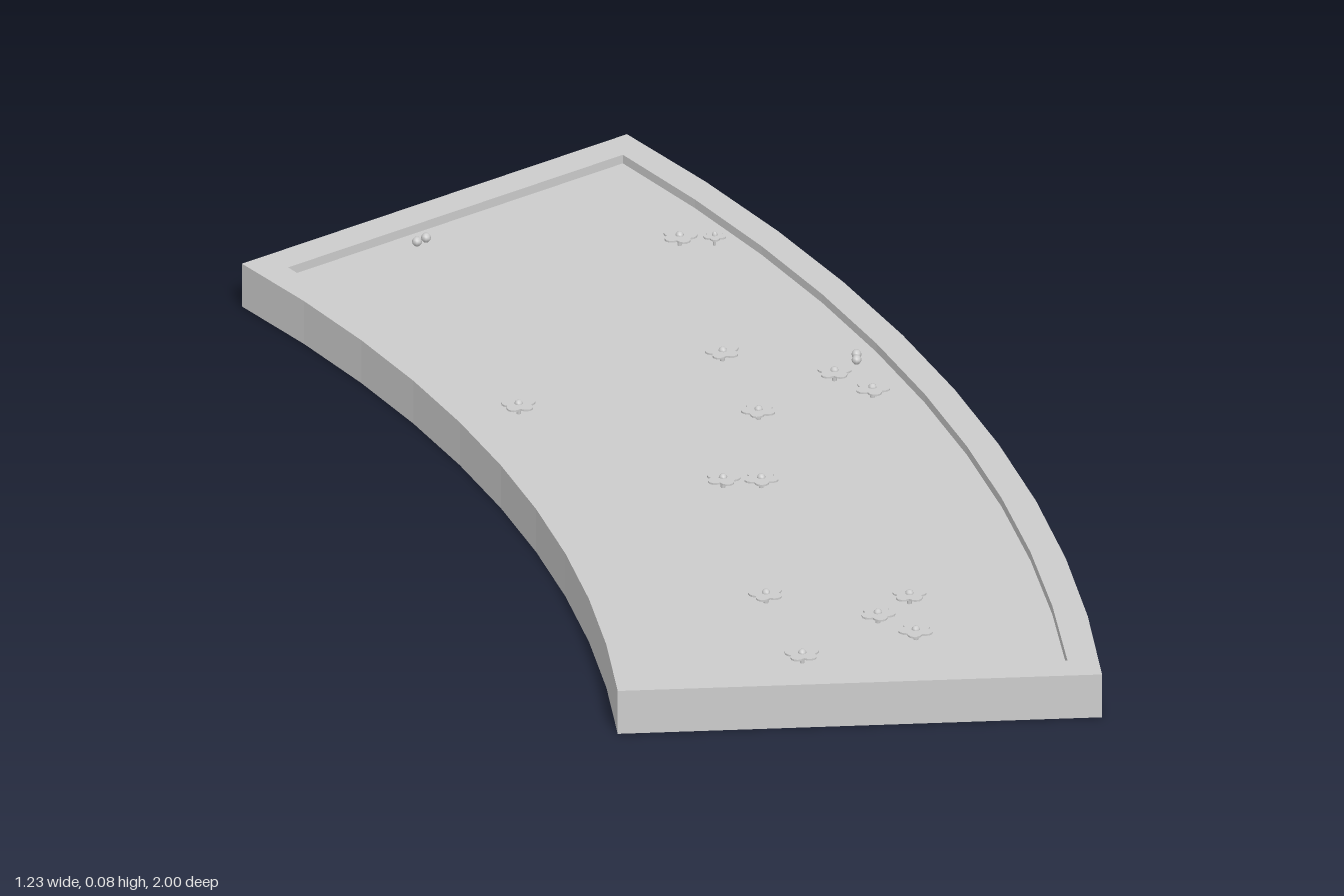
import * as THREE from 'three';

const SEG = 10, CX = -3.045, CZ = 1, R_OUT = 3.66, R_IN = 2.895, SWEEP = 0.5777;
const RIM_Y = 0.075, FLOOR_Y = 0.06;

// closed outline of the bend, moved inwards by a margin, at height y
function outline(side, end, y) {
  const pts = [];
  const arc = (r, reverse) => {
    const pad = Math.asin(end / r);
    for (let i = 0; i <= SEG; i++) {
      const t = (reverse ? SEG - i : i) / SEG;
      const a = pad + t * (SWEEP - 2 * pad);
      pts.push([CX + r * Math.cos(a), y, CZ - r * Math.sin(a)]);
    }
  };
  arc(R_OUT - side, false);
  arc(R_IN + side, true);
  return pts;
}

// curved tray: outer wall, rim, inner wall, floor and underside
function trayGeometry() {
  const rings = [
    outline(0, 0, 0), outline(0, 0, RIM_Y),
    outline(0.05, 0.055, RIM_Y), outline(0.05, 0.055, FLOOR_Y),
  ];
  const n = rings[0].length, pos = [];
  const quad = (a, b, c, d) => pos.push(...a, ...b, ...c, ...a, ...c, ...d);
  for (let k = 0; k < rings.length - 1; k++) {
    for (let i = 0; i < n; i++) {
      const j = (i + 1) % n;
      quad(rings[k][i], rings[k][j], rings[k + 1][j], rings[k + 1][i]);
    }
  }
  const floor = rings[3], base = rings[0];
  for (let i = 0; i < SEG; i++) {
    quad(floor[i], floor[i + 1], floor[n - 2 - i], floor[n - 1 - i]);
    quad(base[n - 1 - i], base[n - 2 - i], base[i + 1], base[i]);
  }
  const g = new THREE.BufferGeometry();
  g.setAttribute('position', new THREE.Float32BufferAttribute(pos, 3));
  g.computeVertexNormals();
  return g;
}

// five rounded petals as one thin plate
function petalGeometry() {
  const s = new THREE.Shape();
  const steps = 30;
  for (let i = 0; i < steps; i++) {
    const a = (i / steps) * Math.PI * 2;
    const r = 0.02 + 0.008 * Math.abs(Math.cos(2.5 * a));
    if (i) s.lineTo(r * Math.cos(a), r * Math.sin(a));
    else s.moveTo(r, 0);
  }
  const g = new THREE.ExtrudeGeometry(s, { depth: 0.003, bevelEnabled: false });
  return g.rotateX(-Math.PI / 2);
}

export function createModel() {
  const model = new THREE.Group();
  model.name = 'curvedPath';
  const grey = new THREE.MeshStandardMaterial({ color: 0xcccccc });
  grey.name = 'stone grey';

  const add = (parent, name, geometry, x = 0, y = 0, z = 0) => {
    const m = new THREE.Mesh(geometry, grey);
    m.name = name;
    m.position.set(x, y, z);
    parent.add(m);
    return m;
  };
  add(model, 'tray', trayGeometry());

  // small flowers: x, z, size
  const petals = petalGeometry();
  const heart = new THREE.SphereGeometry(0.007, 8, 6);
  const stem = new THREE.CylinderGeometry(0.004, 0.004, 0.016, 6);
  const spots = [
    [0.075, -0.625, 1], [0.13, -0.62, 0.65], [0.11, -0.205, 1], [0.28, -0.12, 1],
    [0.335, -0.055, 1], [0.15, 0.01, 1], [-0.225, -0.04, 1], [0.075, 0.25, 1],
    [0.135, 0.255, 1], [0.11, 0.67, 1], [0.335, 0.69, 1], [0.28, 0.755, 1],
    [0.335, 0.82, 1], [0.15, 0.89, 1],
  ];
  spots.forEach(([x, z, size], i) => {
    const flower = new THREE.Group();
    flower.name = 'flower' + (i + 1);
    flower.position.set(x, 0, z);
    flower.rotation.y = i * 0.9;
    flower.scale.set(size, 1, size);
    add(flower, 'petals', petals, 0, 0.0745, 0);
    add(flower, 'heart', heart, 0, 0.077, 0);
    add(flower, 'stem', stem, 0, 0.067, 0);
    model.add(flower);
  });

  // buds that barely break the surface: x, z, turn
  const lump = new THREE.SphereGeometry(0.008, 8, 6);
  [[-0.33, -0.66, 0.7], [0.32, -0.185, 1.5]].forEach(([x, z, turn], i) => {
    const bud = new THREE.Group();
    bud.name = 'bud' + (i + 1);
    bud.position.set(x, 0.068, z);
    bud.rotation.y = turn;
    for (const s of [-1, 1]) add(bud, 'budPetal', lump, s * 0.01, 0, 0);
    model.add(bud);
  });
  return model;
}
